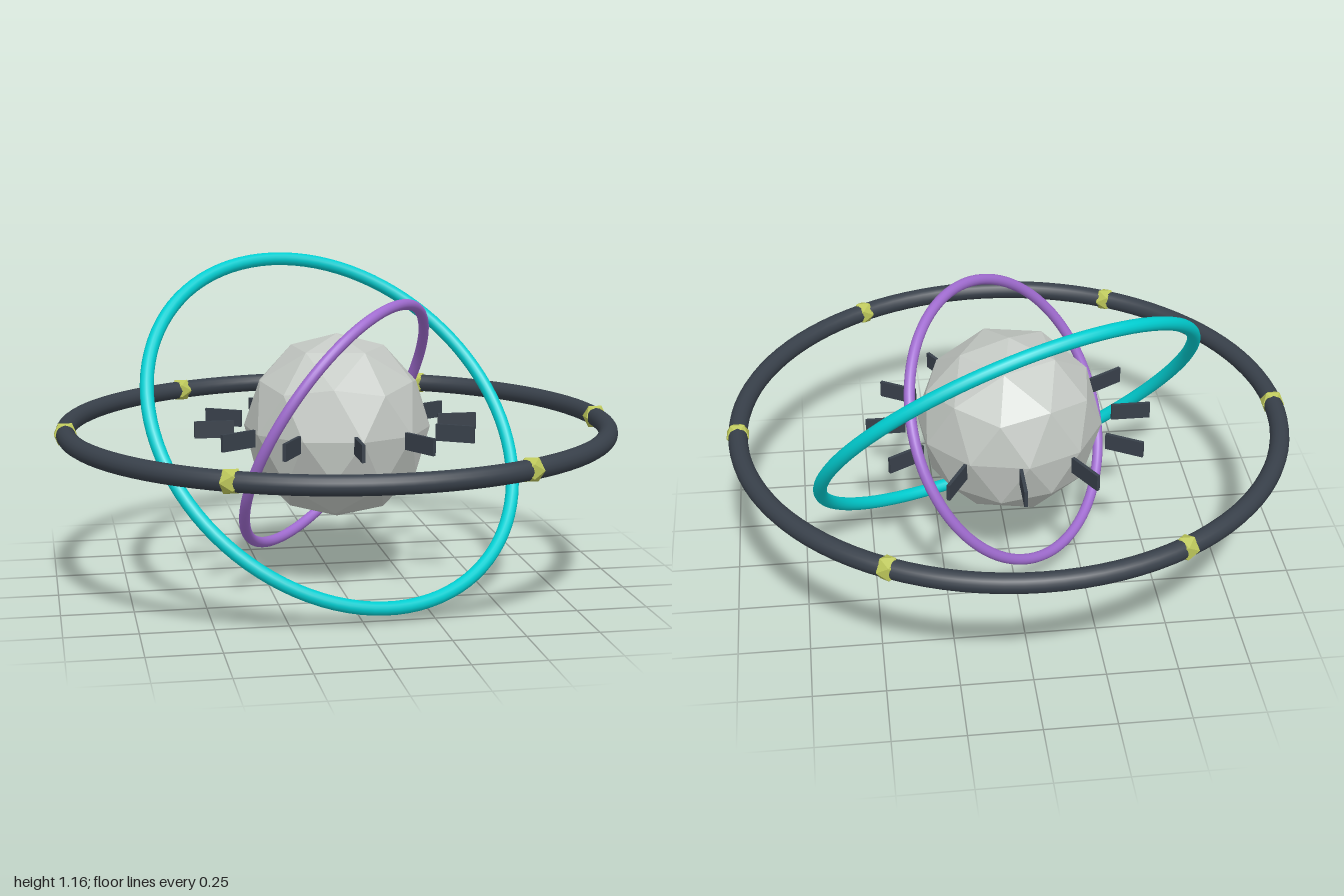
import * as THREE from 'three';

const CENTRE_Y = 0.585;

function material(name, color, flatShading = false) {
  const m = new THREE.MeshStandardMaterial({ color, flatShading });
  m.name = name;
  return m;
}

function addMesh(parent, name, geometry, mat) {
  const mesh = new THREE.Mesh(geometry, mat);
  mesh.name = name;
  parent.add(mesh);
  return mesh;
}

// Torus whose axis points along the given normal
function addRing(parent, name, radius, tube, normal, mat) {
  const ring = addMesh(parent, name, new THREE.TorusGeometry(radius, tube, 16, 96), mat);
  ring.quaternion.setFromUnitVectors(new THREE.Vector3(0, 0, 1), new THREE.Vector3(...normal).normalize());
  return ring;
}

export function createModel() {
  const grey = material('pale grey stone', 0xc3c8c3, true);
  const dark = material('dark slate', 0x38404a);
  const cyan = material('cyan', 0x00ced1);
  const purple = material('purple', 0xa06cd0);
  const lime = material('yellow green', 0xbcc65a, true);

  const model = new THREE.Group();
  model.name = 'ringedCore';
  const body = new THREE.Group();
  body.name = 'body';
  body.position.y = CENTRE_Y;
  model.add(body);

  // Faceted core, turned so that a corner points straight up
  const coreGeometry = new THREE.IcosahedronGeometry(0.332, 1);
  coreGeometry.rotateX(-Math.atan2((1 + Math.sqrt(5)) / 2, 1));
  coreGeometry.rotateY(THREE.MathUtils.degToRad(24));
  addMesh(body, 'core', coreGeometry, grey);

  // Three rings
  addRing(body, 'outerRing', 0.96, 0.034, [0, 1, 0], dark);
  addRing(body, 'middleRing', 0.72, 0.024, [0.31, 0.64, 0.71], cyan);
  addRing(body, 'innerRing', 0.506, 0.019, [0.69, -0.476, 0.54], purple);

  // Small nodes set into the outer ring
  const nodes = new THREE.Group();
  nodes.name = 'ringNodes';
  body.add(nodes);
  const nodeGeometry = new THREE.IcosahedronGeometry(0.046, 0);
  for (let i = 0; i < 6; i++) {
    const a = (i * Math.PI) / 3;
    const node = addMesh(nodes, 'ringNode', nodeGeometry, lime);
    node.position.set(0.96 * Math.cos(a), 0, 0.96 * Math.sin(a));
  }

  // Thin upright fins radiating around the core
  const fins = new THREE.Group();
  fins.name = 'fins';
  body.add(fins);
  const finGeometry = new THREE.BoxGeometry(0.14, 0.06, 0.012);
  for (let i = 0; i < 12; i++) {
    const a = (i * Math.PI) / 6;
    const fin = addMesh(fins, 'fin', finGeometry, dark);
    fin.position.set(0.44 * Math.cos(a), 0, -0.44 * Math.sin(a));
    fin.rotation.y = a;
  }

  return model;
}
